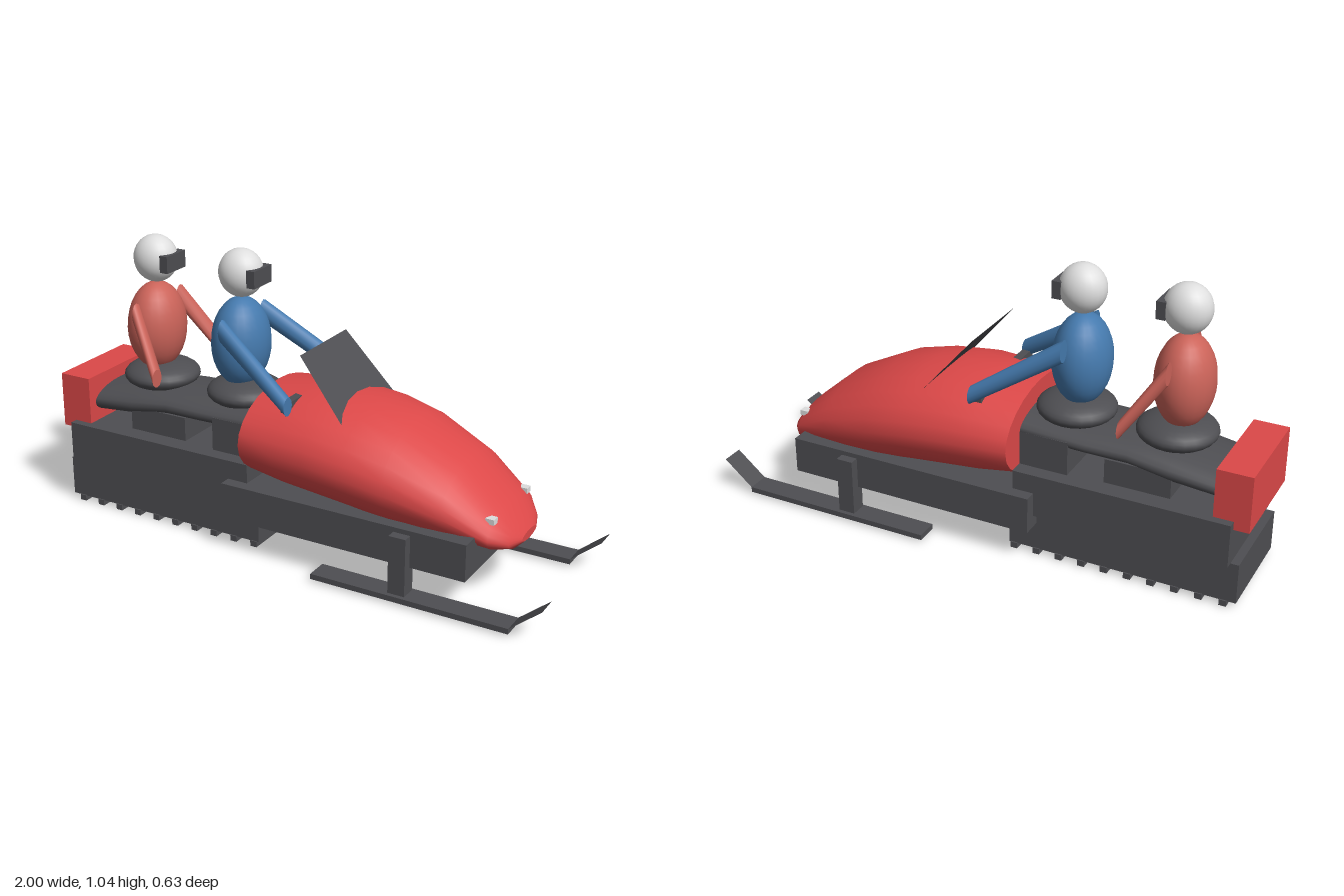
import * as THREE from 'three';

const material = (name, color, side = THREE.FrontSide) => {
  const m = new THREE.MeshStandardMaterial({ color, side });
  m.name = name;
  return m;
};

// Closed skin over elliptical sections along x: [x, centreY, centreZ, radiusY, radiusZ]
function loft(sections, sides = 24) {
  const pos = [], index = [];
  const ring = ([x, cy, cz, ry, rz]) => {
    const start = pos.length / 3;
    for (let j = 0; j < sides; j++) {
      const a = (j / sides) * Math.PI * 2;
      pos.push(x, cy + ry * Math.cos(a), cz + rz * Math.sin(a));
    }
    return start;
  };
  const rings = sections.map(ring);
  for (let i = 0; i < rings.length - 1; i++) {
    for (let j = 0; j < sides; j++) {
      const k = (j + 1) % sides, a = rings[i], b = rings[i + 1];
      index.push(a + j, a + k, b + k, a + j, b + k, b + j);
    }
  }
  // Flat end caps with their own vertices
  [sections[0], sections[sections.length - 1]].forEach((s, end) => {
    const r = ring(s);
    for (let j = 1; j < sides - 1; j++) {
      if (end) index.push(r, r + j, r + j + 1);
      else index.push(r, r + j + 1, r + j);
    }
  });
  const g = new THREE.BufferGeometry();
  g.setAttribute('position', new THREE.Float32BufferAttribute(pos, 3));
  g.setIndex(index);
  g.computeVertexNormals();
  return g;
}

// Flat four-cornered sheet
function sheet(corners) {
  const g = new THREE.BufferGeometry();
  g.setAttribute('position', new THREE.Float32BufferAttribute(corners.flat(), 3));
  g.setIndex([0, 1, 2, 0, 2, 3]);
  g.computeVertexNormals();
  return g;
}

export function createModel() {
  const red = material('red bodywork', 0xdc4848);
  const dark = material('dark grey', 0x4e4e52);
  const darkSheet = material('dark grey sheet', 0x4e4e52, THREE.DoubleSide);
  const blue = material('blue suit', 0x457aae);
  const coral = material('coral suit', 0xcb6359);
  const white = material('white', 0xdedede);

  const model = new THREE.Group();
  model.name = 'snowmobile';

  const add = (name, geometry, mat, parent = model) => {
    const mesh = new THREE.Mesh(geometry, mat);
    mesh.name = name;
    parent.add(mesh);
    return mesh;
  };
  // Box given by its limits on each axis
  const box = (name, [x0, x1], [y0, y1], [z0, z1], mat, parent) => {
    const mesh = add(name, new THREE.BoxGeometry(x1 - x0, y1 - y0, z1 - z0), mat, parent);
    mesh.position.set((x0 + x1) / 2, (y0 + y1) / 2, (z0 + z1) / 2);
    return mesh;
  };
  const ellipsoid = (name, [x, y, z], radii, mat, parent) => {
    const mesh = add(name, new THREE.SphereGeometry(1, 24, 16), mat, parent);
    mesh.position.set(x, y, z);
    mesh.scale.set(...radii);
    return mesh;
  };

  // Hood
  add('hood', loft([
    [-0.16, 0.425, 0, 0.16, 0.275],
    [-0.02, 0.42, 0, 0.18, 0.287],
    [0.1, 0.417, 0, 0.188, 0.296],
    [0.25, 0.4, 0, 0.187, 0.295],
    [0.4, 0.37, 0, 0.18, 0.28],
    [0.6, 0.315, 0, 0.135, 0.24],
    [0.75, 0.248, 0, 0.072, 0.19],
    [0.8, 0.222, 0, 0.042, 0.125],
    [0.822, 0.217, 0, 0.016, 0.062],
  ]), red);

  // Windshield, leaning back
  add('windshield', sheet([
    [0.21, 0.54, 0.19], [0.21, 0.54, -0.19], [0.025, 0.755, -0.16], [0.025, 0.755, 0.16],
  ]), darkSheet);

  // Chassis, tunnel, track and rear box
  box('chassis', [-0.24, 0.71], [0.125, 0.26], [-0.265, 0.265], dark);
  box('tunnel', [-0.945, -0.16], [0.17, 0.33], [-0.22, 0.22], dark);
  box('track', [-0.975, -0.135], [0.02, 0.17], [-0.19, 0.19], dark);
  for (let i = 0; i < 10; i++) {
    const x = -0.93 + i * 0.0862;
    box('trackTread', [x - 0.013, x + 0.013], [0, 0.022], [-0.195, 0.195], dark);
  }
  box('rearBox', [-1, -0.873], [0.3, 0.508], [-0.19, 0.19], red);

  // Seat on two supports
  add('seat', loft([
    [-0.9, 0.4, 0, 0.055, 0.155],
    [-0.7, 0.425, 0, 0.06, 0.165],
    [-0.55, 0.445, 0, 0.052, 0.16],
    [-0.4, 0.447, 0, 0.05, 0.165],
    [-0.16, 0.455, 0, 0.055, 0.165],
  ]), dark);
  box('rearSeatSupport', [-0.71, -0.47], [0.33, 0.42], [-0.15, 0.15], dark);
  box('frontSeatSupport', [-0.34, -0.16], [0.33, 0.455], [-0.165, 0.165], dark);

  box('handlebar', [-0.03, 0], [0.55, 0.587], [-0.2, 0.2], dark);

  // Skis, struts and headlights on both sides
  for (const s of [-1, 1]) {
    const span = (a, b) => (s > 0 ? [a, b] : [-b, -a]);
    box('ski', [0.155, 0.89], [0.01, 0.03], span(0.232, 0.316), dark);
    add('skiTip', sheet([
      [0.89, 0.03, s * 0.232], [0.89, 0.03, s * 0.316],
      [1, 0.122, s * 0.316], [1, 0.122, s * 0.232],
    ]), darkSheet);
    box('skiStrut', [0.445, 0.508], [0.03, 0.243], span(0.24, 0.3), dark);
    box('headlight', [0.725, 0.757], [0.295, 0.315], span(0.125, 0.155), white);
  }

  // Riders
  function rider(name, x, suit, hand) {
    const g = new THREE.Group();
    g.name = name;
    model.add(g);
    ellipsoid('hips', [x + 0.015, 0.515, 0], [0.142, 0.055, 0.142], dark, g);
    ellipsoid('torso', [x, 0.7, 0], [0.104, 0.168, 0.122], suit, g);
    ellipsoid('helmet', [x + 0.005, 0.957, 0], [0.084, 0.088, 0.077], white, g);
    box('visor', [x + 0.062, x + 0.095], [0.922, 0.985], [-0.057, 0.057], dark, g);
    for (const s of [-1, 1]) {
      add('arm', loft([
        [x + 0.01, 0.778, s * 0.137, 0.042, 0.028],
        [hand, 0.58, s * 0.21, 0.034, 0.028],
      ], 12), suit, g);
    }
  }
  rider('driver', -0.315, blue, 0.005);
  rider('passenger', -0.685, coral, -0.542);

  return model;
}
